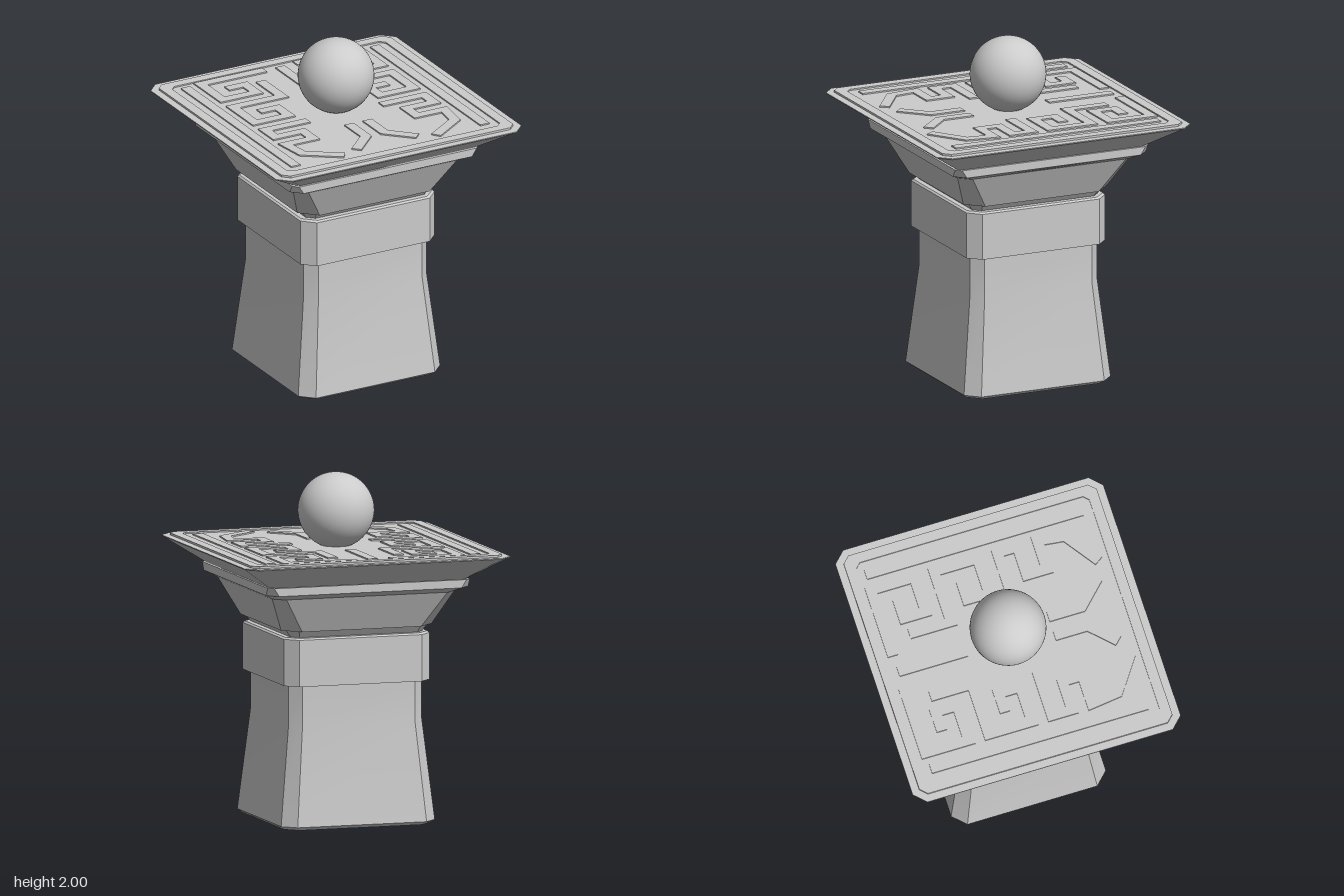
import * as THREE from 'three';
import { toCreasedNormals } from 'three/addons/utils/BufferGeometryUtils.js';

const material = new THREE.MeshStandardMaterial({ color: 0xcccccc });

// Corners of a square of half-width a with corners cut back by c
const octagon = (a, c) => {
  const b = a - c;
  return [[a, -b], [a, b], [b, a], [-b, a], [-a, b], [-a, -b], [-b, -a], [b, -a]];
};

// Skin stacked chamfered squares, given as rings of [y, halfWidth, cut]
function loft(rings, crease = 0.6, capped = true) {
  const pos = [];
  const loops = rings.map(([y, a, c]) => octagon(a, c).map(([x, z]) => [x, y, z]));
  const tri = (...corners) => corners.forEach((p) => pos.push(...p));
  for (let k = 0; k < 8; k++) {
    const n = (k + 1) % 8;
    for (let r = 0; r < loops.length - 1; r++) {
      const lo = loops[r], hi = loops[r + 1];
      tri(lo[k], hi[k], lo[n]);
      tri(lo[n], hi[k], hi[n]);
    }
    if (capped) {
      const first = loops[0], last = loops[loops.length - 1];
      tri([0, first[0][1], 0], first[k], first[n]);
      tri([0, last[0][1], 0], last[n], last[k]);
    }
  }
  const geo = new THREE.BufferGeometry();
  geo.setAttribute('position', new THREE.Float32BufferAttribute(pos, 3));
  return toCreasedNormals(geo, crease);
}

// Mitred ribbon outline along an open path of [x, z] points
function ribbon(path, width) {
  const pts = path.map(([x, z]) => new THREE.Vector2(x, -z));
  const left = [], right = [];
  pts.forEach((p, i) => {
    const dirIn = pts[i].clone().sub(pts[Math.max(i - 1, 0)]).normalize();
    const dirOut = pts[Math.min(i + 1, pts.length - 1)].clone().sub(p).normalize();
    const tangent = dirIn.clone().add(dirOut).normalize();
    const normal = new THREE.Vector2(-tangent.y, tangent.x);
    const ref = i === 0 ? dirOut : dirIn;
    const miter = width / 2 / Math.max(tangent.dot(ref), 0.4);
    left.push(p.clone().addScaledVector(normal, miter));
    right.unshift(p.clone().addScaledVector(normal, -miter));
  });
  return new THREE.Shape([...left, ...right]);
}

export function createModel() {
  const model = new THREE.Group();
  model.name = 'pedestal';
  const add = (name, geometry, parent = model) => {
    const mesh = new THREE.Mesh(geometry, material);
    mesh.name = name;
    parent.add(mesh);
    return mesh;
  };

  // Column, from the foot up
  add('shaft', loft([[0, 0.44, 0.07], [0.02, 0.465, 0.075], [0.6, 0.403, 0.063], [0.84, 0.403, 0.063]]));
  add('band', loft([[0.83, 0.44, 0.07], [1.1, 0.44, 0.07], [1.11, 0.43, 0.07]]));
  add('neck', loft([[1.105, 0.395, 0.04], [1.155, 0.43, 0.06]]));
  add('capital', loft([[1.15, 0.455, 0.095], [1.36, 0.555, 0.065]]));
  add('moulding', loft([[1.355, 0.555, 0.06], [1.385, 0.612, 0.06], [1.432, 0.612, 0.03]]));

  // Flared tray with a thin lip
  add('flare', loft([[1.43, 0.595, 0.03], [1.57, 0.805, 0.068]], 0.9, false));
  add('lip', loft([[1.568, 0.805, 0.068], [1.574, 0.805, 0.068]]));
  add('plate', loft([[1.572, 0.76, 0.04], [1.578, 0.76, 0.04]]));

  // Raised work on the plate: rim and fret pattern
  const raise = (name, shape, parent) => {
    const geo = new THREE.ExtrudeGeometry(shape, { depth: 0.011, bevelEnabled: false });
    geo.rotateX(-Math.PI / 2);
    geo.translate(0, 1.575, 0);
    return add(name, geo, parent);
  };
  const toPoints = (a, c) => octagon(a, c).map(([x, z]) => new THREE.Vector2(x, z));
  const rim = new THREE.Shape(toPoints(0.76, 0.04));
  rim.holes.push(new THREE.Path(toPoints(0.7, 0.03)));
  raise('rim', rim, model);

  const fret = new THREE.Group();
  fret.name = 'fretPattern';
  model.add(fret);
  const paths = [
    // side border
    [[0.62, -0.66], [0.62, 0.64]],
    // back key
    [[0.1, -0.66], [0.52, -0.66], [0.52, -0.4], [0.3, -0.4], [0.3, -0.53], [0.42, -0.53]],
    // middle key
    [[0.2, -0.53], [0.2, -0.28], [0.52, -0.28], [0.52, -0.02], [0.3, -0.02], [0.3, -0.15], [0.42, -0.15]],
    // front key with slanted tail
    [[0.24, 0.1], [0.52, 0.1], [0.52, 0.22], [0.34, 0.22], [0.34, 0.34], [0.52, 0.34], [0.5, 0.5], [0.3, 0.64]],
    // centre arm
    [[0.06, 0.26], [0.06, 0.46], [0.2, 0.6]],
  ];
  for (const side of [1, -1]) {
    for (const path of paths) {
      raise('fretStrip', ribbon(path.map(([x, z]) => [side * x, z]), 0.06), fret);
    }
  }
  // Strip running back from the ball
  raise('fretStrip', ribbon([[0, -0.66], [0, -0.25]], 0.06), fret);

  // Ball
  const ball = add('ball', new THREE.SphereGeometry(0.22, 48, 32));
  ball.position.y = 1.78;
  return model;
}
